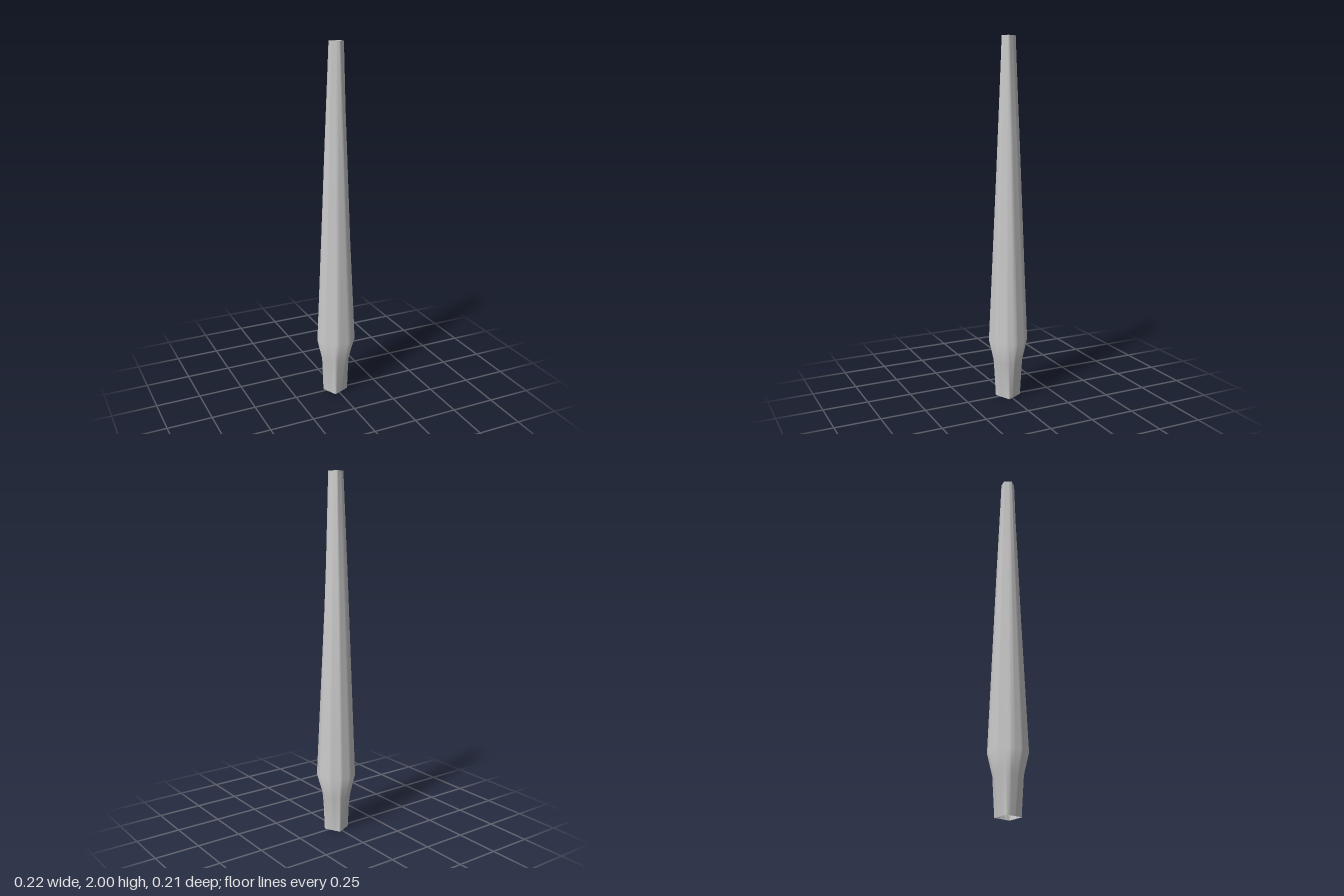
import * as THREE from 'three';

// Cross-sections from the foot to the tip: height and corners as [x, z],
// in order of rising angle from +x towards +z
const SECTIONS = [
  { y: 0, corners: [[0.065, 0.025], [-0.03, 0.066], [-0.07, -0.022], [0.02, -0.066]] },
  {
    y: 0.21,
    corners: [[0.08, 0], [0.062, 0.048], [0.03, 0.076], [-0.03, 0.077], [-0.072, 0.04],
      [-0.083, -0.008], [-0.056, -0.058], [-0.015, -0.078], [0.028, -0.075], [0.066, -0.045]],
  },
  {
    y: 0.33,
    corners: [[0.11, 0], [0.097, 0.053], [0.053, 0.097], [-0.035, 0.104], [-0.095, 0.054],
      [-0.11, -0.01], [-0.075, -0.08], [-0.02, -0.107], [0.037, -0.102], [0.09, -0.063]],
  },
  {
    y: 1.43,
    corners: [[0.063, 0.012], [0.02, 0.06], [-0.012, 0.059], [-0.052, 0.032], [-0.067, 0.005],
      [-0.045, -0.045], [-0.02, -0.058], [0.025, -0.059], [0.05, -0.03]],
  },
  { y: 2, corners: [[0.04, 0.017], [0.005, 0.041], [-0.037, 0.016], [-0.027, -0.028], [0.02, -0.035]] },
];
const SEGMENTS = 90;

// Distance from the axis to the outline of a polygon in a given direction
function outlineRadius(corners, angle) {
  const dx = Math.cos(angle), dz = Math.sin(angle);
  let radius = Infinity;
  corners.forEach(([ax, az], i) => {
    const [bx, bz] = corners[(i + 1) % corners.length];
    const ex = bx - ax, ez = bz - az;
    const det = dx * ez - dz * ex;
    const t = (ax * ez - az * ex) / det;
    if (det > 1e-9 && t > 0) {
      const s = (ax * dz - az * dx) / det;
      if (s >= -1e-6 && s <= 1 + 1e-6) radius = Math.min(radius, t);
    }
  });
  return radius;
}

// Skin joining the cross-sections, open at both ends
function loft(sections) {
  const positions = [], indices = [];
  sections.forEach(({ y, corners }, row) => {
    for (let i = 0; i < SEGMENTS; i++) {
      const angle = (i / SEGMENTS) * Math.PI * 2;
      const r = outlineRadius(corners, angle);
      positions.push(r * Math.cos(angle), y, r * Math.sin(angle));
      if (row === 0) continue;
      const next = (i + 1) % SEGMENTS;
      const low = (row - 1) * SEGMENTS, high = row * SEGMENTS;
      indices.push(low + i, high + i, high + next, low + i, high + next, low + next);
    }
  });
  const geometry = new THREE.BufferGeometry();
  geometry.setAttribute('position', new THREE.Float32BufferAttribute(positions, 3));
  geometry.setIndex(indices);
  geometry.computeVertexNormals();
  return geometry;
}

export function createModel() {
  const group = new THREE.Group();
  group.name = 'taperedPost';

  // Hollow shaft: square foot, flared shoulder, long taper to a five-sided tip
  const material = new THREE.MeshStandardMaterial({ color: 0xcccccc, side: THREE.DoubleSide });
  const shaft = new THREE.Mesh(loft(SECTIONS), material);
  shaft.name = 'hollowShaft';
  group.add(shaft);
  return group;
}
